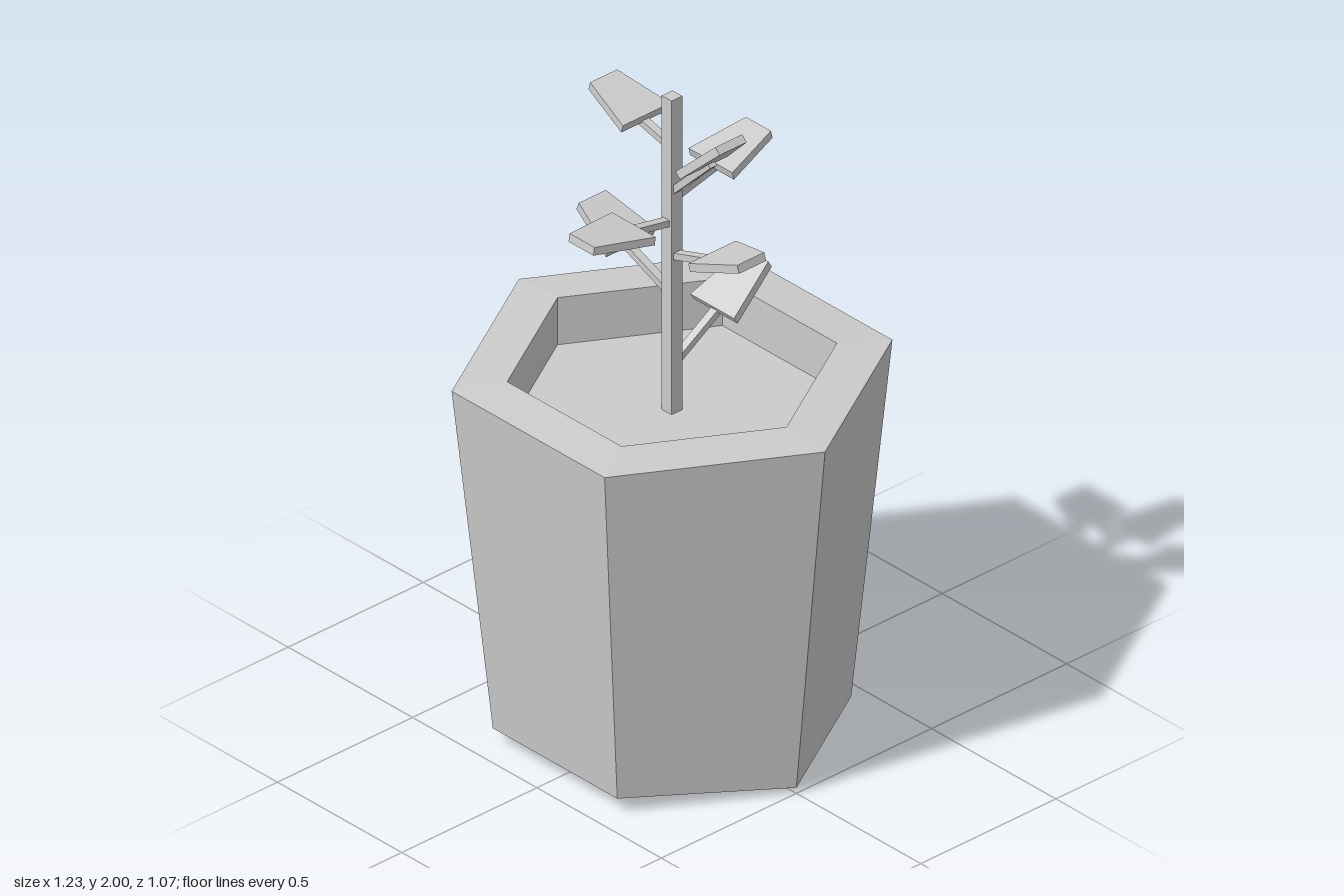
import * as THREE from 'three';

const material = new THREE.MeshStandardMaterial({ color: 0xcccccc, flatShading: true });

function part(name, geometry) {
  let geo = geometry;
  if (geo.index) geo = geo.toNonIndexed();
  geo.computeVertexNormals();
  const mesh = new THREE.Mesh(geo, material);
  mesh.name = name;
  return mesh;
}

// Six-sided tapered pot with an open rim and a slightly uneven base
function createPot() {
  const profile = [[0, 0], [0.5, 0.018], [0.615, 1.14], [0.46, 1.15], [0.46, 1.0]]
    .map(([r, y]) => new THREE.Vector2(r, y));
  const geo = new THREE.LatheGeometry(profile, 6, Math.PI / 2);
  const pos = geo.attributes.position;
  for (let i = 0; i < pos.count; i++) {
    if (pos.getY(i) < 0.1 && pos.getZ(i) > 0.1) pos.setY(i, 0.05);
  }
  return part('pot', geo);
}

// Flat soil inside the rim
function createSoil() {
  const geo = new THREE.CircleGeometry(0.462, 6).rotateX(-Math.PI / 2).translate(0, 1.0, 0);
  return part('soil', geo);
}

// Tapered slab running along +x, wide at the stem end
function leafGeometry(length, thickness = 0.025) {
  const shape = new THREE.Shape([[0, -0.088], [length, -0.05], [length, 0.05], [0, 0.088]]
    .map(([x, y]) => new THREE.Vector2(x, y)));
  return new THREE.ExtrudeGeometry(shape, { depth: thickness, bevelEnabled: false })
    .translate(0, 0, -thickness / 2)
    .rotateX(-Math.PI / 2);
}

// Lay a part that runs along +x between two (radius, height) points
function aim(mesh, r0, y0, r1, y1) {
  mesh.position.set(r0, y0, 0);
  mesh.rotation.z = Math.atan2(y1 - y0, r1 - r0);
  return mesh;
}

// Twig from the stem with one leaf resting on its end
function createBranch([turn, twig, leaf]) {
  const group = new THREE.Group();
  group.name = 'branch';
  const twigLength = Math.hypot(twig[2] - twig[0], twig[3] - twig[1]);
  const leafLength = Math.hypot(leaf[2] - leaf[0], leaf[3] - leaf[1]);
  const twigGeo = new THREE.BoxGeometry(twigLength, 0.02, 0.025).translate(twigLength / 2, 0, 0);
  group.add(aim(part('twig', twigGeo), ...twig));
  group.add(aim(part('leaf', leafGeometry(leafLength)), ...leaf));
  group.rotation.y = turn * Math.PI / 2;
  return group;
}

export function createModel() {
  const model = new THREE.Group();
  model.name = 'pottedPlant';
  model.add(createPot(), createSoil());
  model.add(part('stem', new THREE.BoxGeometry(0.04, 1.0, 0.04).translate(0, 1.5, 0)));

  // Quarter turn (0 +x, 1 -z, 2 -x, 3 +z), twig ends, leaf ends
  const branches = [
    [2, [0, 1.84, 0.18, 1.885], [0.105, 1.883, 0.278, 1.928]],
    [0, [0, 1.695, 0.16, 1.855], [0.118, 1.835, 0.237, 1.95]],
    [0, [0, 1.495, 0.215, 1.565], [0.165, 1.562, 0.32, 1.61]],
    [2, [0, 1.372, 0.21, 1.458], [0.165, 1.457, 0.325, 1.524]],
    [3, [0, 1.602, 0.2, 1.64], [0.143, 1.635, 0.335, 1.664]],
    [1, [0, 1.675, 0.22, 1.729], [0.145, 1.723, 0.323, 1.766]],
    [1, [0, 1.145, 0.2, 1.272], [0.155, 1.257, 0.317, 1.355]],
  ];
  branches.forEach((b) => model.add(createBranch(b)));
  return model;
}
